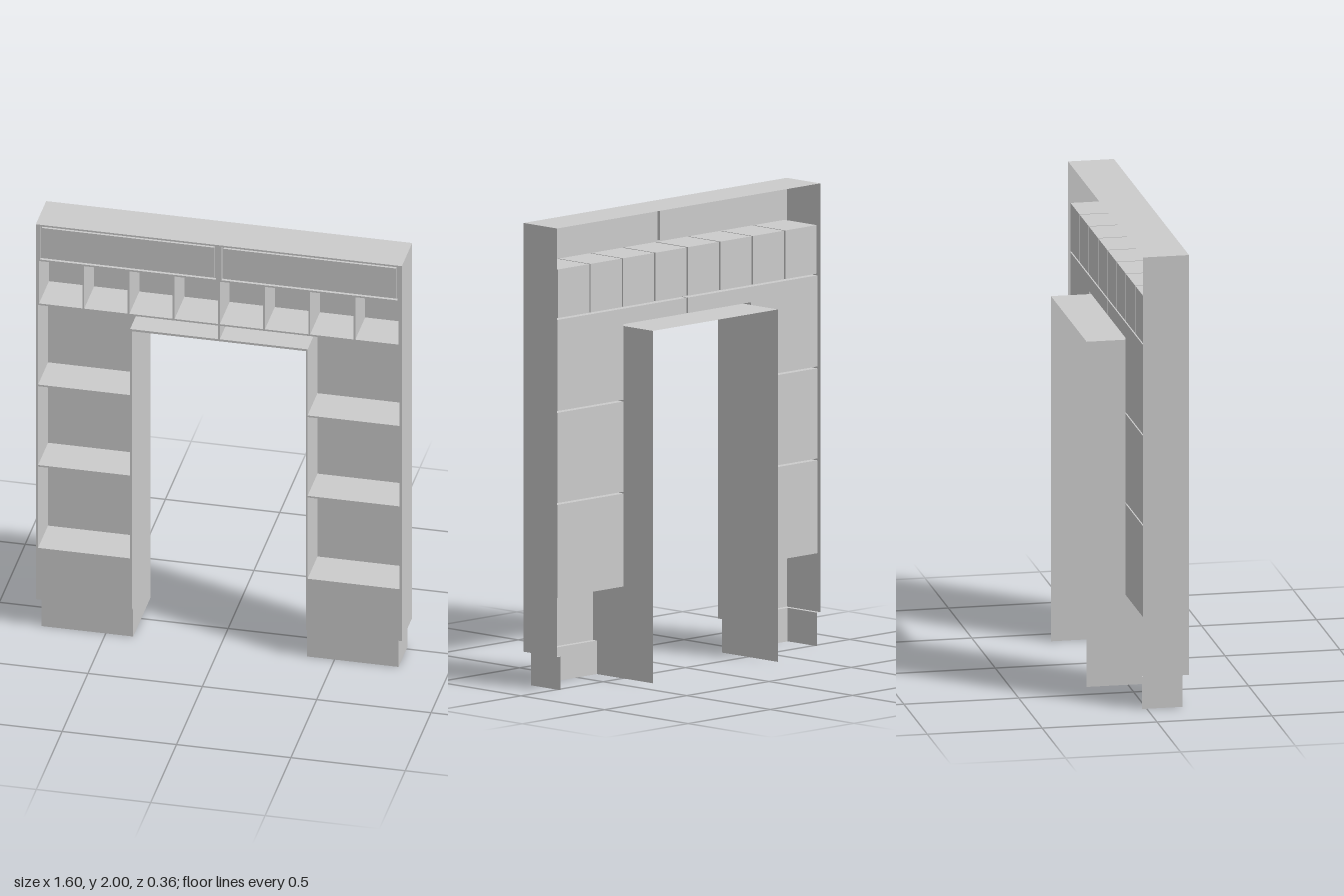
import * as THREE from 'three';

const FRONT = 0.18, BACK = -0.02, NICHE_BACK = -0.012, REAR = -0.18, PLINTH = 0.155;

export function createModel() {
  const group = new THREE.Group();
  group.name = 'doorwayBookcase';
  const material = new THREE.MeshStandardMaterial({ color: 0xcccccc, side: THREE.DoubleSide });

  const add = (name, geometry, parent = group) => {
    const mesh = new THREE.Mesh(geometry, material);
    mesh.name = name;
    parent.add(mesh);
    return mesh;
  };
  const vectors = (pts, s = 1) => pts.map(([x, y]) => new THREE.Vector2(x * s, y));
  const rect = (x0, y0, x1, y1) => [[x0, y0], [x1, y0], [x1, y1], [x0, y1]];

  // Flat sheet facing +z, with optional openings
  const sheet = (pts, z, holes = []) => {
    const shape = new THREE.Shape(pts);
    shape.holes = holes.map((h) => new THREE.Path(h));
    return new THREE.ShapeGeometry(shape).translate(0, 0, z);
  };

  // Thin wall following an outline from z0 to z1
  const wall = (pts, z0, z1, closed = false) => {
    const pos = [];
    const count = closed ? pts.length : pts.length - 1;
    for (let i = 0; i < count; i++) {
      const a = pts[i], b = pts[(i + 1) % pts.length];
      pos.push(a.x, a.y, z0, b.x, b.y, z0, b.x, b.y, z1);
      pos.push(a.x, a.y, z0, b.x, b.y, z1, a.x, a.y, z1);
    }
    const g = new THREE.BufferGeometry();
    g.setAttribute('position', new THREE.Float32BufferAttribute(pos, 3));
    g.computeVertexNormals();
    return g;
  };

  // Recess behind an opening in the face frame
  const openings = [];
  const niche = (name, pts, depthZ) => {
    const part = new THREE.Group();
    part.name = name;
    group.add(part);
    openings.push(pts);
    add(name + 'Walls', wall(pts, depthZ, FRONT, true), part);
    add(name + 'Back', sheet(pts, depthZ), part);
    return part;
  };

  for (const s of [-1, 1]) {
    const side = s > 0 ? 'left' : 'right';

    // Two plain shelves and the top shelf that reaches over the doorway
    niche(side + 'LowerShelf', vectors(rect(0.388, 0.4, 0.79, 0.802), s), NICHE_BACK);
    niche(side + 'MiddleShelf', vectors(rect(0.388, 0.81, 0.79, 1.2), s), NICHE_BACK);
    niche(side + 'UpperShelf', vectors([[0.388, 1.208], [0.79, 1.208], [0.79, 1.602],
      [0.004, 1.602], [0.004, 1.535], [0.388, 1.535]], s), NICHE_BACK);

    // Row of cubbyholes
    for (let i = 0; i < 4; i++) {
      const x = 0.004 + i * 0.1975;
      niche(side + 'Cubby' + (i + 1), vectors(rect(x, 1.61, x + 0.1895, 1.82), s), NICHE_BACK);
    }

    // Cupboard door set in a narrow groove
    const door = niche(side + 'Door', vectors(rect(0.012, 1.828, 0.782, 1.992), s), 0.165);
    const panel = vectors(rect(0.02, 1.835, 0.774, 1.984), s);
    add(side + 'DoorEdges', wall(panel, 0.165, 0.178, true), door);
    add(side + 'DoorPanel', sheet(panel, 0.178), door);

    // Plinth: front board, outer return and the ledge above it
    add(side + 'PlinthFront', sheet(vectors(rect(0.38, 0, 0.78, 0.145), s), PLINTH));
    add(side + 'PlinthSide', wall(vectors([[0.78, 0], [0.78, 0.145]], s), BACK, PLINTH));
    add(side + 'FrontLedge', wall(vectors([[0.38, 0.145], [0.8, 0.145]], s), PLINTH, FRONT));
    add(side + 'SideLedge', wall(vectors([[0.78, 0.145], [0.8, 0.145]], s), BACK, PLINTH));

    // Doorway lining, set back at the foot to meet the plinth
    add(side + 'JambFoot', wall(vectors([[0.38, 0], [0.38, 0.145]], s), REAR, PLINTH));
    add(side + 'Jamb', wall(vectors([[0.38, 0.145], [0.38, 1.525]], s), REAR, FRONT));
  }
  add('doorwayHead', wall(vectors([[-0.38, 1.525], [0.38, 1.525]]), REAR, FRONT));

  // Outer sides and top
  add('carcass', wall(vectors([[-0.8, 0.145], [-0.8, 2], [0.8, 2], [0.8, 0.145]]), BACK, FRONT));

  // Face frame with all the openings
  const frame = vectors([[-0.8, 0.145], [-0.38, 0.145], [-0.38, 1.525], [0.38, 1.525],
    [0.38, 0.145], [0.8, 0.145], [0.8, 2], [-0.8, 2]]);
  add('faceFrame', sheet(frame, FRONT, openings));

  return group;
}
